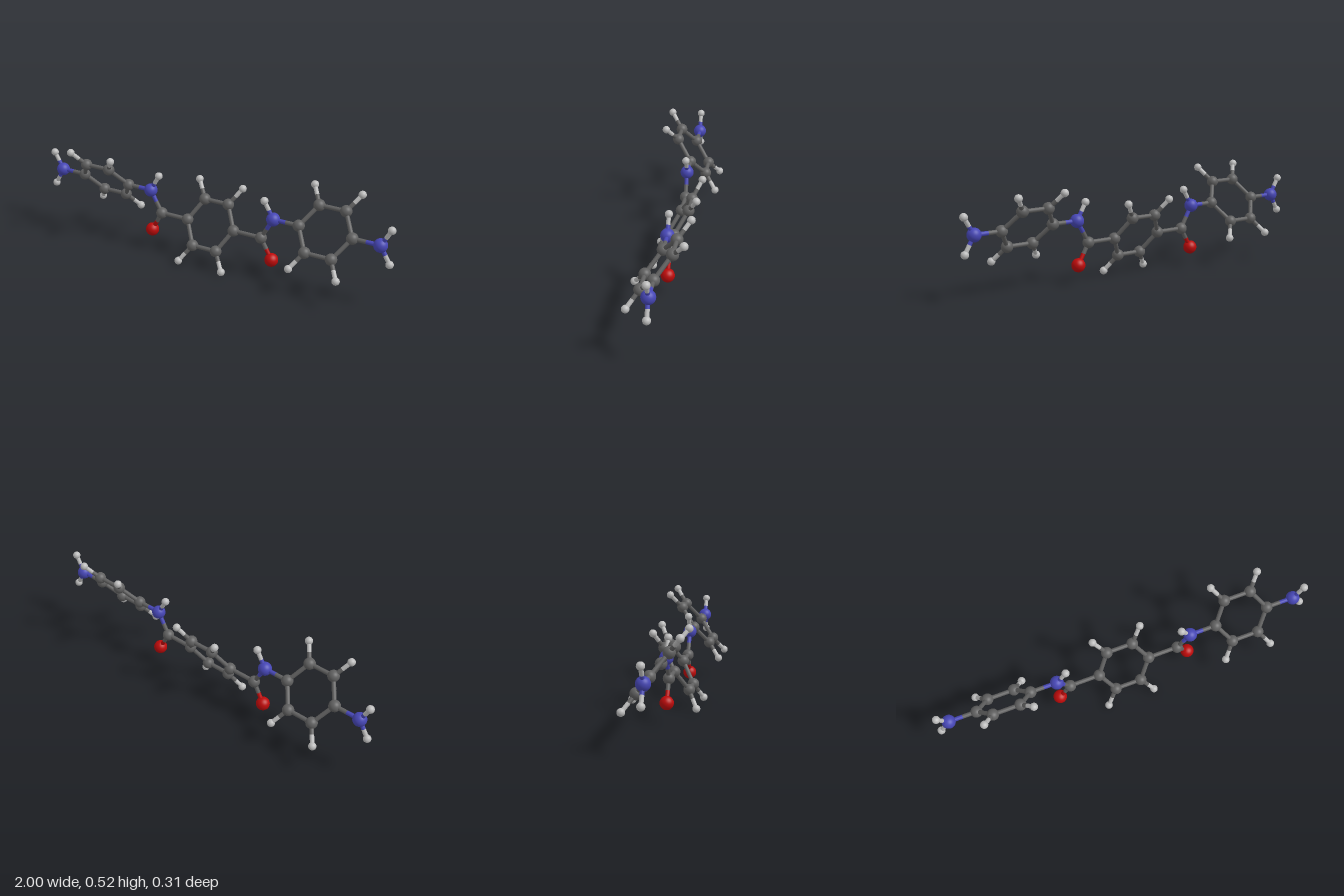
import * as THREE from 'three';

// Element styles: sphere radius and colour
const ELEMENTS = {
  carbon: { radius: 0.03, color: 0x606060 },
  hydrogen: { radius: 0.02, color: 0xbbbbbb },
  nitrogen: { radius: 0.035, color: 0x4646b4 },
  oxygen: { radius: 0.035, color: 0xbb0a0a },
};
const BOND_RADIUS = 0.011;
const UP = new THREE.Vector3(0, 1, 0);

export function createModel() {
  const model = new THREE.Group();
  model.name = 'molecule';

  const styles = {};
  for (const [name, { radius, color }] of Object.entries(ELEMENTS)) {
    styles[name] = {
      geometry: new THREE.SphereGeometry(radius, 32, 20),
      material: new THREE.MeshStandardMaterial({ color }),
    };
  }

  function atom(parent, element, x, y, z = 0) {
    const { geometry, material } = styles[element];
    const mesh = new THREE.Mesh(geometry, material);
    mesh.name = element + 'Atom';
    mesh.position.set(x, y, z);
    mesh.userData.element = element;
    parent.add(mesh);
    return mesh;
  }

  // Half of a bond, in the colour of the atom it starts from
  function halfBond(parent, from, to) {
    const dir = to.position.clone().sub(from.position);
    const half = dir.length() / 2;
    const element = from.userData.element;
    const mesh = new THREE.Mesh(
      new THREE.CylinderGeometry(BOND_RADIUS, BOND_RADIUS, half, 16, 1, true),
      styles[element].material
    );
    mesh.name = element + 'HalfBond';
    mesh.position.copy(from.position).addScaledVector(dir, 0.25);
    mesh.quaternion.setFromUnitVectors(UP, dir.normalize());
    parent.add(mesh);
  }

  function bond(parent, a, b) {
    halfBond(parent, a, b);
    halfBond(parent, b, a);
  }

  // Six-carbon ring along x, with four hydrogens; c and h hold [dx, dy, dz]
  // of the upper corners, mirrored in x and turned over for the lower side
  function ring(name, cx, cy, endX, c, h) {
    const group = new THREE.Group();
    group.name = name;
    model.add(group);
    const corner = (element, [dx, dy, dz], sx, sy) =>
      atom(group, element, cx + sx * dx, cy + sy * dy, sy * dz);
    const ends = [-1, 1].map((s) => atom(group, 'carbon', cx + s * endX, cy));
    for (const sy of [-1, 1]) {
      const pair = [-1, 1].map((sx, i) => {
        const carbon = corner('carbon', c, sx, sy);
        bond(group, carbon, corner('hydrogen', h, sx, sy));
        bond(group, carbon, ends[i]);
        return carbon;
      });
      bond(group, pair[0], pair[1]);
    }
    return ends;
  }

  const centreEnds = ring('centralRing', 0, 0.211, 0.136,
    [0.069, 0.106, -0.064], [0.127, 0.189, -0.11]);

  // Both arms: amide link, outer ring and end amine; outer rings tilt oppositely
  for (const s of [-1, 1]) {
    const side = s < 0 ? 'right' : 'left';
    const outerEnds = ring(side + 'OuterRing', s * 0.642, 0.327, 0.142,
      [0.071, 0.097, -s * 0.076], [0.126, 0.173, -s * 0.135]);
    const [inner, outer] = s < 0 ? [outerEnds[1], outerEnds[0]] : outerEnds;

    const amide = new THREE.Group();
    amide.name = side + 'AmideLink';
    const carbon = atom(amide, 'carbon', s * 0.294, 0.211);
    const nitrogen = atom(amide, 'nitrogen', s * 0.36, 0.327);
    bond(amide, carbon, centreEnds[s < 0 ? 0 : 1]);
    bond(amide, carbon, atom(amide, 'oxygen', s * 0.355, 0.103));
    bond(amide, carbon, nitrogen);
    bond(amide, nitrogen, atom(amide, 'hydrogen', s * 0.309, 0.416));
    bond(amide, nitrogen, inner);

    const amine = new THREE.Group();
    amine.name = side + 'EndAmine';
    const endNitrogen = atom(amine, 'nitrogen', s * 0.929, 0.327);
    bond(amine, endNitrogen, outer);
    for (const t of [-1, 1]) {
      bond(amine, endNitrogen, atom(amine, 'hydrogen', s * 0.98, 0.327 + t * 0.089));
    }
    model.add(amide, amine);
  }
  return model;
}
